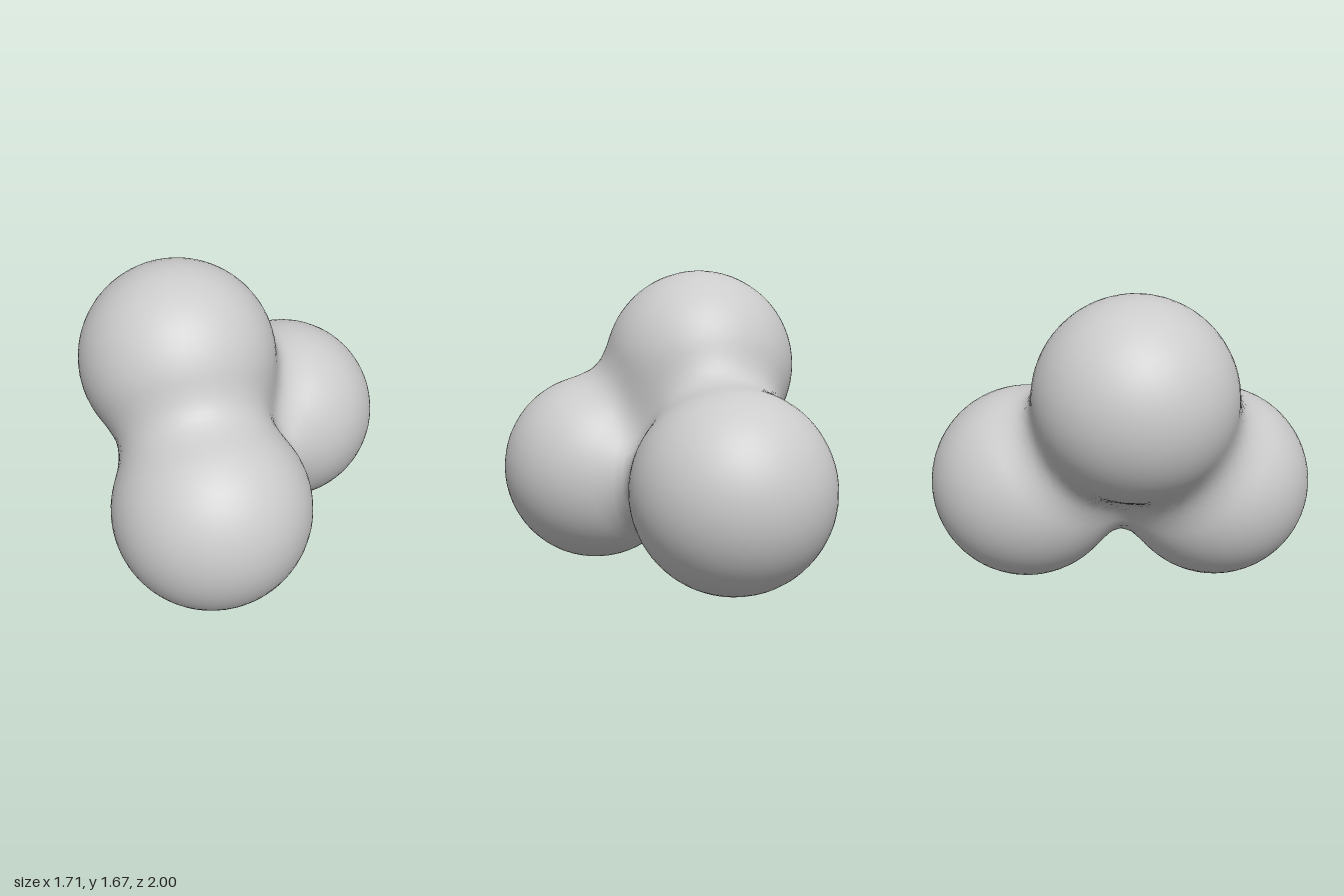
import * as THREE from 'three';

// Three overlapping balls: centre and radius
const balls = [
  { c: new THREE.Vector3(-0.19, 0.545, 0.463), r: 0.535 }, // front
  { c: new THREE.Vector3(0.315, 0.545, -0.46), r: 0.54 }, // back
  { c: new THREE.Vector3(-0.32, 1.14, -0.12), r: 0.538 }, // top
];
const BLEND = 0.23;

// Union of two distances with a rounded fillet
function smoothMin(a, b) {
  const h = Math.max(BLEND - Math.abs(a - b), 0) / BLEND;
  return Math.min(a, b) - h * h * BLEND * 0.25;
}

// Signed distance to the merged balls, negative inside
const field = (p) => balls.map(({ c, r }) => p.distanceTo(c) - r).reduce(smoothMin);

function gradient(p) {
  const e = 0.002;
  const slope = (axis) => {
    const a = p.clone(), b = p.clone();
    a[axis] += e;
    b[axis] -= e;
    return (field(a) - field(b)) / (2 * e);
  };
  return new THREE.Vector3(slope('x'), slope('y'), slope('z'));
}

// Wrap the field in one closed quad skin: one vertex per crossed grid cell
function skinGeometry() {
  const n = 46, step = 0.05;
  const origin = new THREE.Vector3(-1.13, -0.23, -1.13);
  const unit = [[1, 0, 0], [0, 1, 0], [0, 0, 1]];
  const id = (g) => (g[0] * n + g[1]) * n + g[2];
  const add = (g, d, s = 1) => g.map((v, i) => v + s * d[i]);
  const point = (g) => new THREE.Vector3(...g).multiplyScalar(step).add(origin);

  const values = new Float32Array(n ** 3);
  for (let x = 0; x < n; x++)
    for (let y = 0; y < n; y++)
      for (let z = 0; z < n; z++) values[id([x, y, z])] = field(point([x, y, z]));

  const positions = [], normals = [], indices = [], made = new Map();

  // Average the crossings on the cell's edges, then settle on the surface
  function cellVertex(cell) {
    const key = id(cell);
    if (made.has(key)) return made.get(key);
    const p = new THREE.Vector3();
    let count = 0;
    for (let a = 0; a < 3; a++)
      for (let k = 0; k < 4; k++) {
        const from = add(add(cell, unit[(a + 1) % 3], k & 1), unit[(a + 2) % 3], k >> 1);
        const to = add(from, unit[a]);
        const u = values[id(from)], v = values[id(to)];
        if (u < 0 === v < 0) continue;
        p.add(point(from).lerp(point(to), u / (u - v)));
        count++;
      }
    p.divideScalar(count);
    for (let i = 0; i < 2; i++) {
      const g = gradient(p);
      p.addScaledVector(g, -field(p) / Math.max(g.lengthSq(), 0.2));
    }
    positions.push(...p.toArray());
    normals.push(...gradient(p).normalize().toArray());
    made.set(key, positions.length / 3 - 1);
    return made.get(key);
  }

  // Each crossed grid edge gets a quad joining its four neighbouring cells
  for (let x = 1; x < n - 1; x++)
    for (let y = 1; y < n - 1; y++)
      for (let z = 1; z < n - 1; z++)
        for (let a = 0; a < 3; a++) {
          const g = [x, y, z];
          const inside = values[id(g)] < 0;
          if (inside === values[id(add(g, unit[a]))] < 0) continue;
          const b = unit[(a + 1) % 3], c = unit[(a + 2) % 3];
          const quad = [add(add(g, b, -1), c, -1), add(g, c, -1), g, add(g, b, -1)].map(cellVertex);
          if (!inside) quad.reverse();
          const [i, j, k, l] = quad;
          indices.push(i, j, k, i, k, l);
        }

  const geometry = new THREE.BufferGeometry();
  geometry.setAttribute('position', new THREE.Float32BufferAttribute(positions, 3));
  geometry.setAttribute('normal', new THREE.Float32BufferAttribute(normals, 3));
  geometry.setIndex(indices);
  return geometry;
}

export function createModel() {
  const group = new THREE.Group();
  group.name = 'mergedBalls';
  const skin = new THREE.Mesh(skinGeometry(), new THREE.MeshStandardMaterial({ color: 0xcccccc }));
  skin.name = 'blendedBallCluster';
  group.add(skin);
  return group;
}
